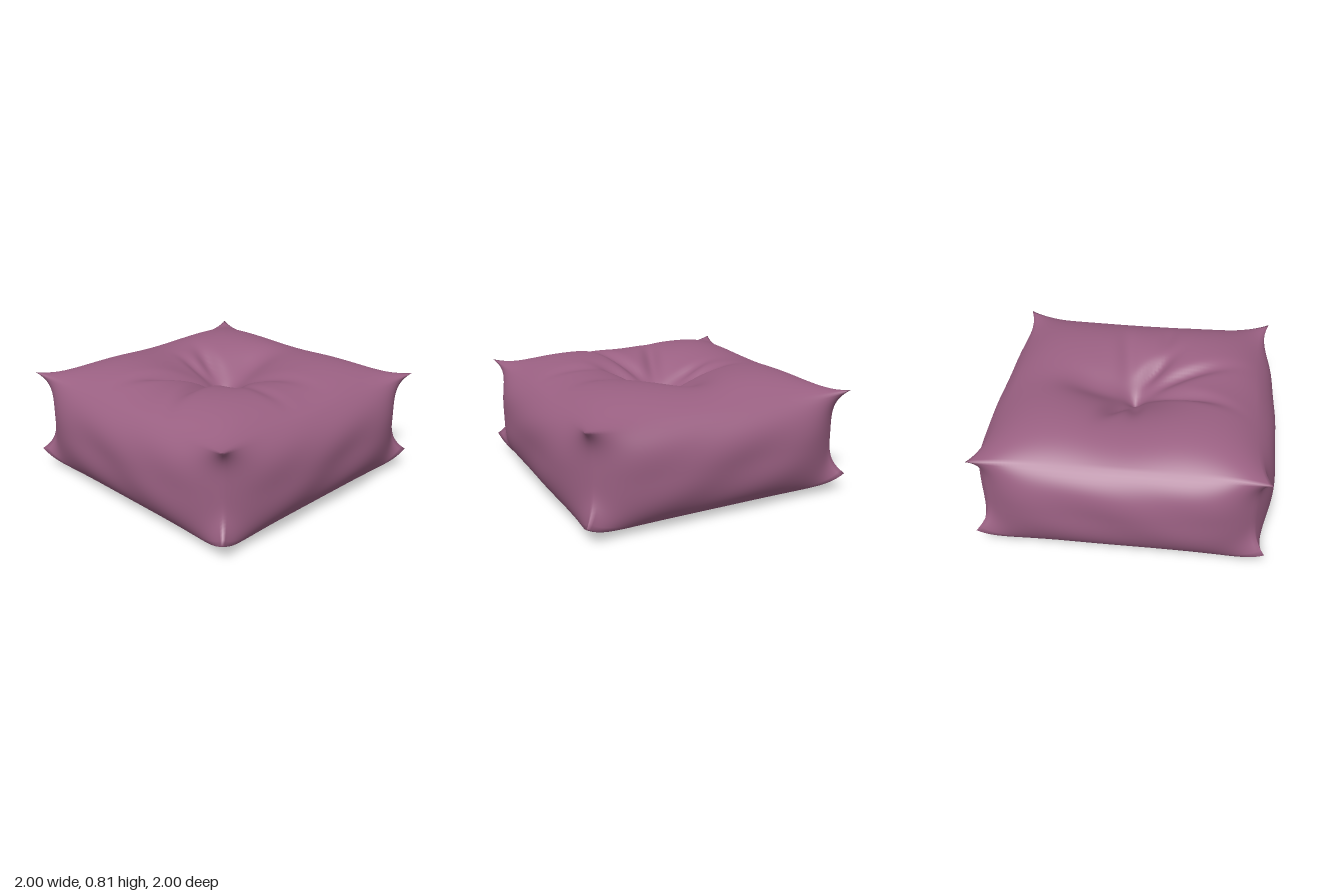
import * as THREE from 'three';
import { mergeVertices } from 'three/addons/utils/BufferGeometryUtils.js';

const lerp = THREE.MathUtils.lerp;
const gauss = (d, w) => Math.exp(-(d * d) / (w * w));

// Folds in the top: start x, z, end x, z, depth, width
const folds = [
  [-0.03, 0.14, -0.25, 0.72, 0.05, 0.06],
  [0.06, 0.12, 0.28, 0.78, 0.045, 0.06],
  [0.12, 0.02, 0.4, 0.28, 0.05, 0.06],
  [-0.1, -0.04, -0.5, -0.19, 0.05, 0.06],
  [-0.12, 0.03, -0.45, 0.04, 0.03, 0.05],
  [0.15, -0.06, 0.72, -0.14, 0.025, 0.07],
  [0.4, 0.18, 0.88, 0.21, 0.02, 0.06],
  [0.0, -0.15, -0.05, -0.6, 0.05, 0.15],
];

// Depth of one fold, fading out past its ends
function foldDepth(x, z, [x0, z0, x1, z1, depth, width]) {
  const dx = x1 - x0, dz = z1 - z0, l2 = dx * dx + dz * dz;
  const t = ((x - x0) * dx + (z - z0) * dz) / l2;
  const d = ((x - x0) * dz - (z - z0) * dx) / Math.sqrt(l2);
  return depth * gauss(d, width) * gauss(t - 0.4, 0.45);
}

// Half width of the cushion: full at the waist, pinched along the upright corners
function extent(v, across) {
  const middle = 0.995 - (v > 0 ? 0.13 : 0.11) * Math.abs(v) ** 3;
  const corner = 0.86 + 0.08 * v ** 4;
  return lerp(middle, corner, Math.abs(across) ** 5);
}

// Crowned top with a tufted centre
function topHeight(u, w) {
  const a = Math.abs(u), b = Math.abs(w);
  const x = u * 0.9, z = w * 0.9, r = Math.hypot(x, z);
  const crown = (1 - a ** 5) * (1 - b ** 5);
  let y = 0.7 + 0.035 * a ** 6 * b ** 6 + 0.14 * crown;
  y -= 0.03 * crown * (gauss(x, 0.3) + gauss(z, 0.3));
  y -= 0.1 * gauss(r, 0.36) + 0.12 * Math.exp(-r / 0.12);
  for (const f of folds) y -= crown * foldDepth(x, z, f);
  return y;
}

// Flat base turning up at its rim and corners
function bottomHeight(u, w) {
  const a = Math.abs(u) ** 10, b = Math.abs(w) ** 10;
  return 0.01 + 0.055 * (a + b - a * b) + 0.08 * a * b;
}

function cushionGeometry() {
  let geo = new THREE.BoxGeometry(2, 2, 2, 80, 28, 80);
  geo.deleteAttribute('normal');
  geo.deleteAttribute('uv');
  geo = mergeVertices(geo);
  const p = geo.attributes.position;
  for (let i = 0; i < p.count; i++) {
    const u = p.getX(i), v = p.getY(i), w = p.getZ(i);
    // Gentle sag wrinkles on the four sides
    const fade = (1 - v * v) * 0.006;
    const ripple = (s) => fade * Math.sin(7 * s + 4 * v) * (1 - s * s);
    const x = u * (extent(v, w) + ripple(w));
    const z = w * (extent(v, u) + ripple(u));
    const y = lerp(bottomHeight(u, w), topHeight(u, w), (v + 1) / 2);
    p.setXYZ(i, x, y, z);
  }
  geo.computeVertexNormals();
  return geo;
}

export function createModel() {
  const fabric = new THREE.MeshStandardMaterial({ color: 0x9a6082 });
  fabric.name = 'mauve fabric';
  const cushion = new THREE.Mesh(cushionGeometry(), fabric);
  cushion.name = 'cushion';
  const group = new THREE.Group();
  group.name = 'pouf';
  group.add(cushion);
  return group;
}
